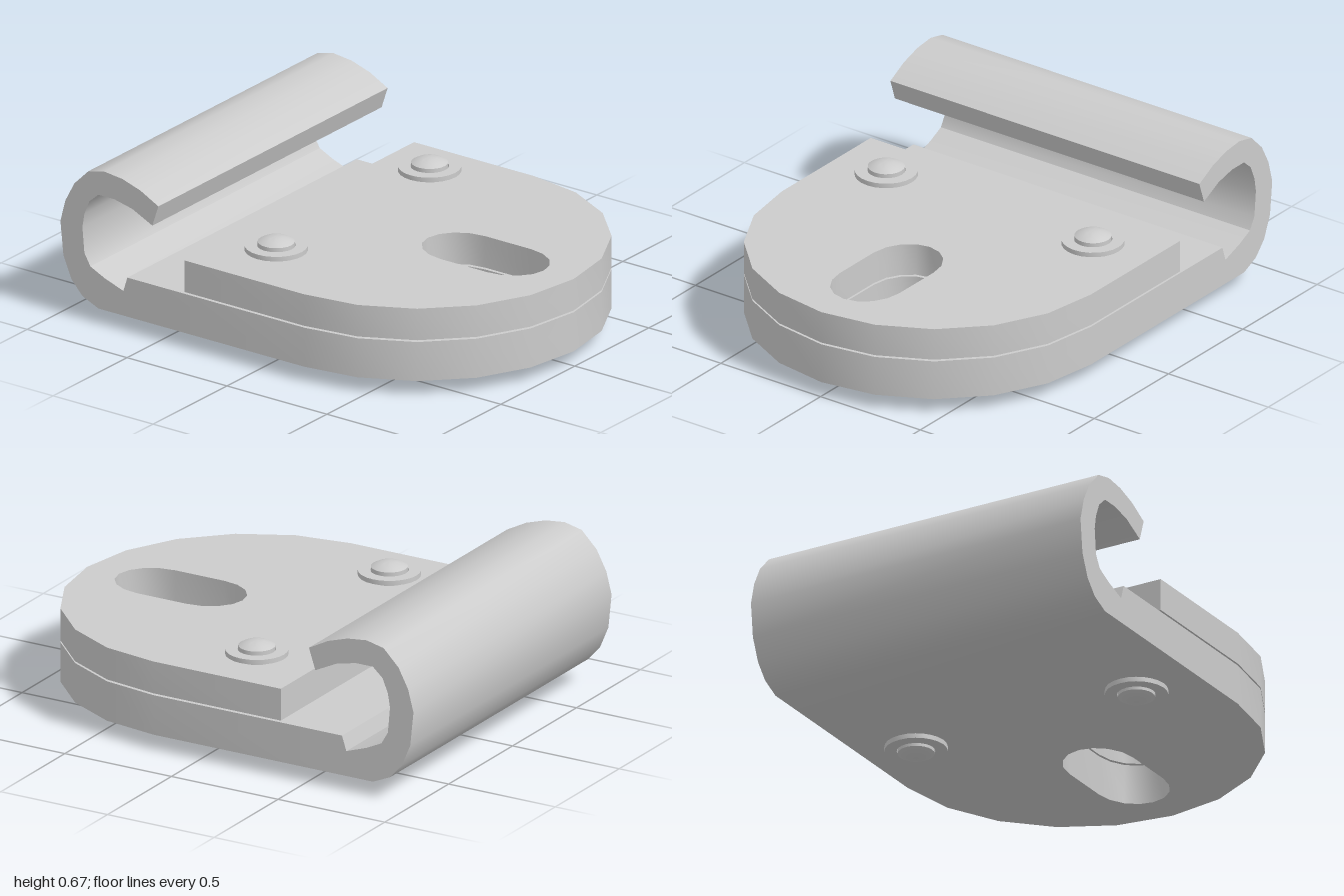
import * as THREE from 'three';
import { toCreasedNormals } from 'three/addons/utils/BufferGeometryUtils.js';

const HALF = 0.775; // half width, also the radius of the rounded front
const ARC_Z = 0.22; // where the rounded front begins
const material = new THREE.MeshStandardMaterial({ color: 0xcccccc });

function addMesh(parent, name, geometry, crease = 0.6) {
  const mesh = new THREE.Mesh(toCreasedNormals(geometry, crease), material);
  mesh.name = name;
  parent.add(mesh);
  return mesh;
}

// Flat plate with a rounded front and a slot, from backZ forward
function plateGeometry(backZ, y0, y1) {
  const outline = [new THREE.Vector2(-HALF, -backZ)];
  for (let i = 0; i <= 10; i++) {
    const a = Math.PI + (i / 10) * Math.PI;
    outline.push(new THREE.Vector2(HALF * Math.cos(a), -ARC_Z + HALF * Math.sin(a)));
  }
  outline.push(new THREE.Vector2(HALF, -backZ));
  const shape = new THREE.Shape(outline);

  // Slot made of two half ellipses joined by straight sides
  const slot = [];
  for (const [z, start] of [[0.44, 0], [0.67, Math.PI]]) {
    for (let i = 0; i <= 8; i++) {
      const a = start + (i / 8) * Math.PI;
      slot.push(new THREE.Vector2(0.15 * Math.cos(a), -z + 0.175 * Math.sin(a)));
    }
  }
  shape.holes.push(new THREE.Path(slot));

  const geometry = new THREE.ExtrudeGeometry(shape, { depth: y1 - y0, bevelEnabled: false });
  return geometry.rotateX(-Math.PI / 2).translate(0, y0, 0);
}

// Rolled hook along the back edge; points are (distance back, height)
function hookGeometry() {
  const profile = [
    [0.6, 0.065], [0.81, 0.065], [0.89, 0.1], [0.945, 0.16], [0.985, 0.255],
    [1, 0.4], [0.975, 0.495], [0.93, 0.58], [0.86, 0.65], [0.78, 0.668],
    [0.69, 0.658], [0.6, 0.63], [0.51, 0.583],
    [0.54, 0.492], [0.64, 0.54], [0.73, 0.56], [0.81, 0.56], [0.855, 0.52],
    [0.88, 0.46], [0.89, 0.4], [0.88, 0.29], [0.85, 0.238], [0.78, 0.205],
    [0.685, 0.172], [0.665, 0.235], [0.6, 0.235],
  ].map(([a, y]) => new THREE.Vector2(a, y));
  const geometry = new THREE.ExtrudeGeometry(new THREE.Shape(profile), {
    depth: 2 * HALF, bevelEnabled: false,
  });
  return geometry.rotateY(Math.PI / 2).translate(-HALF, 0, 0);
}

function lathe(points, segments = 24) {
  return new THREE.LatheGeometry(points.map(([r, y]) => new THREE.Vector2(r, y)), segments);
}

// Pin with domed ends and a washer above and below the plates
function createRivet(x) {
  const rivet = new THREE.Group();
  rivet.name = 'rivet';
  rivet.position.set(x, 0, -0.12);
  addMesh(rivet, 'rivetPin', lathe([
    [0, 0.002], [0.03, 0.005], [0.055, 0.013], [0.075, 0.024],
    [0.075, 0.438], [0.055, 0.449], [0.03, 0.457], [0, 0.46],
  ]));
  for (const [name, y] of [['lowerWasher', 0.035], ['upperWasher', 0.402]]) {
    const t = 0.02;
    addMesh(rivet, name, lathe([
      [0.078, y], [0.128, y], [0.128, y + t], [0.078, y + t], [0.078, y],
    ]));
  }
  return rivet;
}

export function createModel() {
  const model = new THREE.Group();
  model.name = 'hookedBracket';
  addMesh(model, 'lowerPlate', plateGeometry(-0.6, 0.065, 0.235));
  addMesh(model, 'rolledHook', hookGeometry());
  addMesh(model, 'upperPlate', plateGeometry(-0.378, 0.243, 0.38));
  for (const x of [-0.505, 0.532]) model.add(createRivet(x));
  return model;
}
